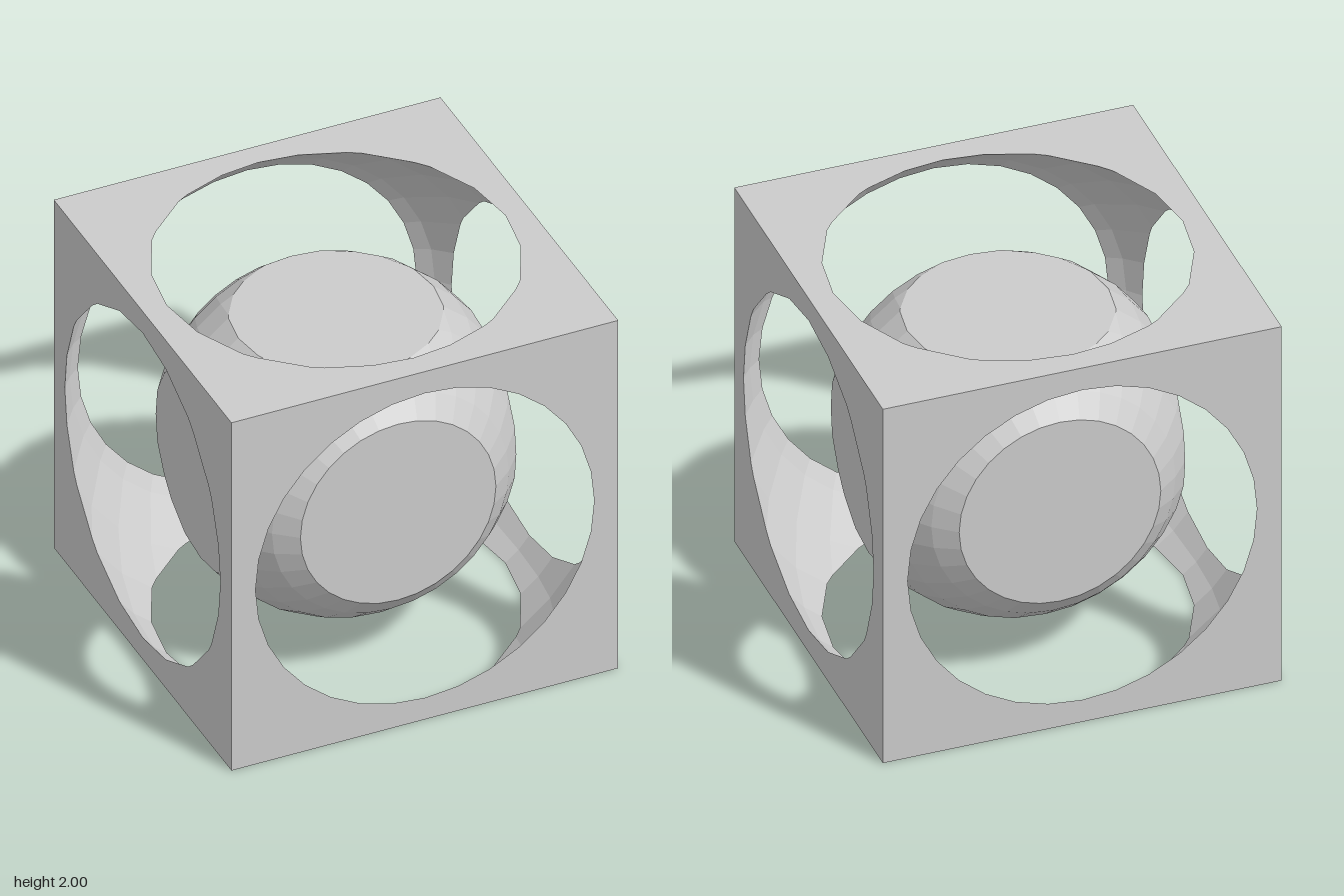
import * as THREE from 'three';

const AXES = ['x', 'y', 'z'];
// the six sides of a cube: axis, sign and outward normal
const SIDES = AXES.flatMap((axis) => [1, -1].map((sign) => {
  const normal = new THREE.Vector3();
  normal[axis] = sign;
  return { axis, sign, normal };
}));

// keep the part of a convex polygon inside one side of a cube of half size h
function clip(poly, { axis, sign }, h) {
  const out = [];
  poly.forEach((a, i) => {
    const b = poly[(i + 1) % poly.length];
    const da = h - sign * a[axis], db = h - sign * b[axis];
    if (da >= 0) out.push(a);
    if (da * db < 0) out.push(a.clone().lerp(b, da / (da - db)));
  });
  return out;
}

// faceted sphere (poles on z) cut by a cube: its remaining surface and the six cut outlines
function cutSphere(radius, h, inward) {
  const pos = new THREE.SphereGeometry(radius, 32, 16).rotateX(Math.PI / 2).toNonIndexed().attributes.position;
  const points = [];
  const rims = SIDES.map(() => new Map());
  for (let i = 0; i < pos.count; i += 3) {
    let poly = [0, 1, 2].map((k) => new THREE.Vector3().fromBufferAttribute(pos, i + k));
    for (const side of SIDES) poly = clip(poly, side, h);
    SIDES.forEach(({ axis, sign }, s) => poly.forEach((p) => {
      if (Math.abs(p[axis] - sign * h) < 1e-5) {
        rims[s].set(p.toArray().map((v) => Math.round(v * 1e4)).join(), p);
      }
    }));
    for (let k = 1; k < poly.length - 1; k++) {
      points.push(poly[0], ...(inward ? [poly[k + 1], poly[k]] : [poly[k], poly[k + 1]]));
    }
  }
  const surface = new THREE.BufferGeometry().setFromPoints(points);
  surface.computeVertexNormals();
  // outlines as 2D loops in the plane of each side
  const loops = rims.map((rim, s) => {
    const toFlat = sideTurn(SIDES[s]).invert();
    return [...rim.values()]
      .map((p) => p.clone().applyQuaternion(toFlat))
      .map((p) => new THREE.Vector2(p.x, p.y))
      .sort((a, b) => Math.atan2(a.y, a.x) - Math.atan2(b.y, b.x));
  });
  return { surface, loops };
}

function sideTurn({ normal }) {
  return new THREE.Quaternion().setFromUnitVectors(new THREE.Vector3(0, 0, 1), normal);
}

function createModel() {
  const material = new THREE.MeshStandardMaterial({ color: 0xcccccc, flatShading: true });
  const model = new THREE.Group();
  model.name = 'nestedCubes';

  function addPart(name, radius, h, inward, makeShape) {
    const part = new THREE.Group();
    part.name = name;
    part.position.y = 1;
    const { surface, loops } = cutSphere(radius, h, inward);
    const curved = new THREE.Mesh(surface, material);
    curved.name = name + 'Curve';
    part.add(curved);
    SIDES.forEach((side, s) => {
      const geometry = new THREE.ShapeGeometry(makeShape(loops[s]));
      geometry.translate(0, 0, h).applyQuaternion(sideTurn(side));
      const flat = new THREE.Mesh(geometry, material);
      flat.name = name + 'Side';
      part.add(flat);
    });
    model.add(part);
  }

  // outer cube hollowed by a sphere, leaving a round window in each side
  addPart('outerFrame', 1.335, 1, true, (loop) => {
    const square = new THREE.Shape([[-1, -1], [1, -1], [1, 1], [-1, 1]].map(([x, y]) => new THREE.Vector2(x, y)));
    square.holes.push(new THREE.Path(loop));
    return square;
  });

  // inner ball trimmed flat on six sides
  addPart('innerCore', 0.866, 0.7, false, (loop) => new THREE.Shape(loop));

  return model;
}

export { createModel };
